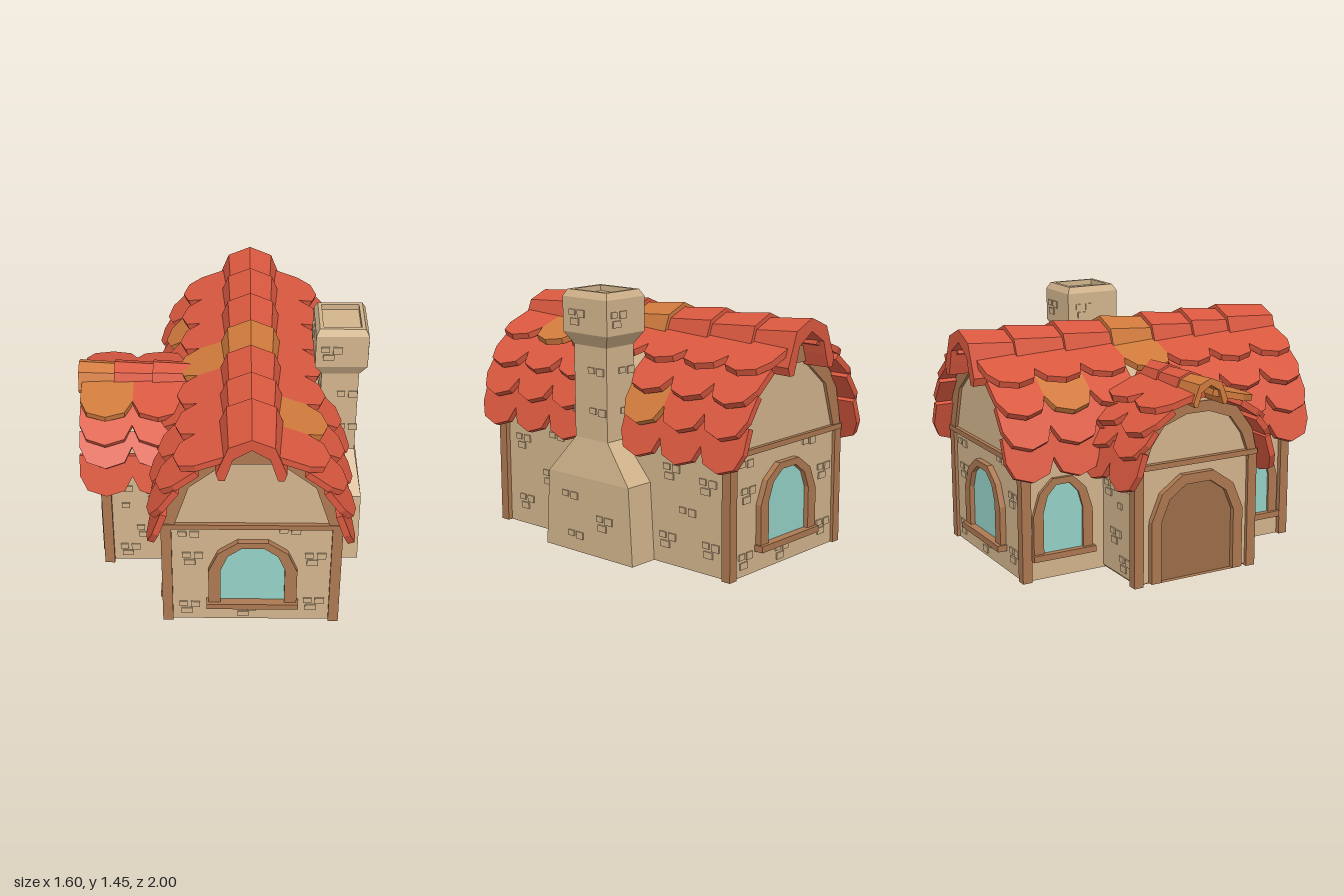
import * as THREE from 'three';

const mat = (name, color) => Object.assign(new THREE.MeshStandardMaterial({ color }), { name });

export function createModel() {
  const M = {
    plaster: mat('plaster', 0xd2b48c), timber: mat('timber', 0xac7851), door: mat('door wood', 0x9c6c48),
    glass: mat('glass', 0x95d2c8), tile: mat('red tile', 0xd9583f), oldTile: mat('orange tile', 0xd07a3c),
  };
  const model = new THREE.Group();
  model.name = 'cottage';

  const add = (parent, name, geo, m, x = 0, y = 0, z = 0) => {
    const mesh = new THREE.Mesh(geo, m);
    mesh.name = name;
    mesh.position.set(x, y, z);
    parent.add(mesh);
    return mesh;
  };
  const frame = (name, x, z, turn, parent = model) => {
    const g = new THREE.Group();
    g.name = name;
    g.position.set(x, 0, z);
    g.rotation.y = turn;
    parent.add(g);
    return g;
  };
  const box = (parent, name, m, x0, x1, y0, y1, z0, z1) =>
    add(parent, name, new THREE.BoxGeometry(x1 - x0, y1 - y0, z1 - z0), m, (x0 + x1) / 2, (y0 + y1) / 2, (z0 + z1) / 2);
  // closed outline from its right half, listed from bottom to top
  const mirrored = half => [...half, ...half.filter(p => p[0] > 0).reverse().map(([x, y]) => [-x, y])]
    .map(p => new THREE.Vector2(...p));
  const extrude = (pts, depth, hole) => {
    const s = new THREE.Shape(pts);
    if (hole) s.holes.push(new THREE.Path(hole));
    return new THREE.ExtrudeGeometry(s, { depth, bevelEnabled: false });
  };

  // arched opening: pane, raised frame and optional sill, on a wall at depth z
  const opening = (parent, name, x, z, outer, inner, pane, out, sill) => {
    const g = new THREE.Group();
    g.name = name;
    g.position.set(x, 0, z);
    parent.add(g);
    add(g, name + 'Pane', extrude(mirrored(inner), 0.006), pane);
    add(g, name + 'Frame', extrude(mirrored(outer), out, mirrored(inner)), M.timber);
    if (sill) box(g, name + 'Sill', M.timber, -sill, sill, 0.115, 0.15, 0, out + 0.02);
  };
  const arch = (w, y0, y1, k) => [[w, y0], [w, y1 - 0.2 * k], [w * 0.78, y1 - 0.075 * k], [w * 0.34, y1]];

  // clusters of slightly raised stones, each at [u, v, count]
  const stones = (parent, z, list) => {
    const spots = [[-0.03, 0.02, 0.045, 0.032], [0.036, 0.016, 0.05, 0.04], [-0.012, -0.03, 0.06, 0.036]];
    for (const [u, v, n] of list) for (const [a, b, w, h] of spots.slice(0, n))
      box(parent, 'stone', M.plaster, u + a - w / 2, u + a + w / 2, v + b - h / 2, v + b + h / 2, z, z + 0.008);
  };

  // gable trim: curved timber arch and cross beam
  const gable = (parent, outer, inner, z, depth, beam) => {
    add(parent, 'gableArch', extrude(mirrored(outer), depth, mirrored(inner)), M.timber, 0, 0, z);
    box(parent, 'gableBeam', M.timber, -beam, beam, 0.65, 0.68, z, z + depth + 0.006);
  };

  // ---- main house
  const CX = 0.168, CZ = 0.0075;
  const mainOuter = [[0.48, 0.655], [0.425, 0.92], [0.285, 1.095], [0.11, 1.165]];
  const mainInner = [[0.41, 0.675], [0.33, 0.925], [0.145, 1.075]];
  const house = frame('house', CX, CZ, 0);
  add(house, 'mainWalls', extrude(mirrored([[0.455, 0], [0.455, 0.655], [0.41, 0.9], [0.27, 1.09], [0.11, 1.16]]), 1.71),
    M.plaster, 0, 0, -0.855);
  for (const sx of [-1, 1]) for (const sz of [-1, 1])
    add(house, 'cornerPost', new THREE.BoxGeometry(0.056, 0.655, 0.056), M.timber, sx * 0.455, 0.3275, sz * 0.845);
  for (const side of [0, 1]) {
    const f = frame(side ? 'backFacade' : 'frontFacade', 0, 0, side * Math.PI, house);
    gable(f, mainOuter, mainInner, 0.845, 0.027, 0.483);
    opening(f, 'gableWindow', side ? -0.008 : 0.008, 0.855, arch(0.24, 0.13, 0.567, 1), arch(0.173, 0.15, 0.53, 0.75), M.glass, 0.034, 0.25);
    stones(f, 0.855, [[-0.34, 0.585, 2], [0.2, 0.61, 2], [-0.32, 0.44, 3], [0.34, 0.44, 3], [-0.34, 0.09, 3],
      [0.34, 0.12, 3], [-0.03, 0.07, 3]]);
  }
  const west = frame('leftFacade', 0, 0, -Math.PI / 2, house);
  for (const s of [-1, 1])
    opening(west, 'sideWindow', s * 0.62, 0.455, arch(0.18, 0.13, 0.567, 1), arch(0.12, 0.15, 0.53, 0.75), M.glass, 0.02, 0.19);
  const east = frame('chimneyFacade', 0, 0, Math.PI / 2, house);
  stones(east, 0.455, [[-0.7, 0.5, 3], [-0.48, 0.32, 3], [-0.68, 0.14, 3], [-0.42, 0.55, 2], [0.7, 0.48, 3],
    [0.45, 0.52, 3], [0.56, 0.3, 2], [0.72, 0.14, 3], [0.42, 0.14, 3]]);

  // ---- side wing with the door
  const wing = frame('wing', 0, 0.01, -Math.PI / 2);
  add(wing, 'wingWalls', extrude(mirrored([[0.365, 0.015], [0.365, 0.655], [0.335, 0.8], [0.24, 0.93], [0.08, 0.99]]), 0.5),
    M.plaster, 0, 0, 0.155);
  box(wing, 'wingFloor', M.timber, -0.36, 0.36, 0.006, 0.016, 0.28, 0.65);
  for (const s of [-1, 1])
    add(wing, 'wingPost', new THREE.BoxGeometry(0.056, 0.655, 0.056), M.timber, s * 0.36, 0.3275, 0.647);
  gable(wing, [[0.385, 0.655], [0.35, 0.8], [0.25, 0.935], [0.08, 0.99]], [[0.325, 0.675], [0.285, 0.78], [0.21, 0.88], [0.07, 0.93]],
    0.65, 0.028, 0.385);
  opening(wing, 'door', 0, 0.655, arch(0.29, 0.012, 0.6, 1.2), arch(0.23, 0.012, 0.545, 0.95), M.door, 0.035);
  for (const s of [-1, 1]) {
    const w = frame('wingSide', -0.45, 0.01 + s * 0.365, s > 0 ? 0 : Math.PI);
    stones(w, 0, [[-0.11 * s, 0.51, 2], [0.08 * s, 0.49, 3], [0.02 * s, 0.23, 3], [-0.08 * s, 0.09, 3], [-0.06 * s, 0.39, 1]]);
  }

  // ---- roof shingles; each row runs from an upper point to its tip in (out, y)
  const shingle = (w, [x0, y0], [x1, y1]) => {
    const L = Math.hypot(x1 - x0, y1 - y0), h = w / 2;
    const g = extrude([[-h, 0], [-h, 0.12 - L], [-h * 0.72, 0.035 - L], [0, -L], [h * 0.72, 0.035 - L], [h, 0.12 - L], [h, 0]]
      .map(p => new THREE.Vector2(...p)), 0.036);
    const up = new THREE.Vector3(x0 - x1, y0 - y1, 0).normalize();
    const out = new THREE.Vector3(up.y, -up.x, 0);
    g.translate(0, 0, -0.036);
    return g.applyMatrix4(new THREE.Matrix4().makeBasis(new THREE.Vector3(0, 0, -1), up, out).setPosition(x0, y0, 0));
  };
  const slope = (name, x, z, turn, rows, columns, width, orange, skip = () => false) => {
    const g = frame(name, x, z, turn);
    rows.forEach(([a, b], r) => columns.forEach((cz, c) => {
      if (!skip(r, c)) add(g, 'shingle', shingle(width, a, b), orange.includes(`${r},${c}`) ? M.oldTile : M.tile, 0, 0, cz);
    }));
  };
  const mainRows = [[[0.47, 0.83], [0.555, 0.59]], [[0.40, 0.985], [0.55, 0.77]],
    [[0.29, 1.105], [0.50, 0.94]], [[0.10, 1.215], [0.405, 1.1]]];
  const wingRows = [[[0.40, 0.78], [0.47, 0.55]], [[0.33, 0.895], [0.46, 0.735]],
    [[0.22, 0.995], [0.42, 0.865]], [[0.03, 1.075], [0.34, 0.995]]];
  const sevenColumns = [-3, -2, -1, 0, 1, 2, 3].map(i => i * 0.279);
  const noMiddle = (r, c) => c === 3 && r < 3;
  slope('rightSlope', 0.162, 0.01, 0, mainRows, sevenColumns, 0.279, ['3,5', '1,2'], noMiddle);
  slope('leftSlope', 0.162, 0.01, Math.PI, mainRows, sevenColumns, 0.279, ['3,3', '2,5'], noMiddle);
  slope('wingFrontSlope', 0, 0.01, -Math.PI / 2, wingRows, [0.635, 0.345], 0.29, ['3,0']);
  slope('wingBackSlope', 0, 0.01, Math.PI / 2, wingRows, [-0.635, -0.345], 0.29, []);

  // ---- ridge caps, each narrowing towards local +z
  const capHalf = [[0, 0.195], [0.105, 0.13], [0.125, 0.06], [0.15, -0.015], [0.185, -0.015], [0.2, 0.03], [0.13, 0.21], [0, 0.265]];
  const capPts = [...capHalf, ...capHalf.slice(1, -1).reverse().map(([x, y]) => [-x, y])].map(p => new THREE.Vector2(...p));
  const ridgeCap = (size, length) => {
    const g = extrude(capPts, length), p = g.attributes.position;
    for (let i = 0; i < p.count; i++) {
      const k = size * (1 - 0.1 * p.getZ(i) / length);
      p.setXY(i, p.getX(i) * k, p.getY(i) * k);
    }
    g.computeVertexNormals();
    return g;
  };
  const ridge = frame('mainRidge', 0.16, 0, 0);
  const breaks = [-1, -0.73, -0.43, -0.13, 0.14, 0.41, 0.66, 0.985];
  for (let i = 0; i < 7; i++)
    add(ridge, 'ridgeCap', ridgeCap(1, breaks[i + 1] - breaks[i] + 0.01), i === 3 ? M.oldTile : M.tile, 0, 1.07, breaks[i]);
  const wingRidge = frame('wingRidge', 0, 0.01, Math.PI / 2);
  [-0.8, -0.6, -0.385].forEach((x, i) =>
    add(wingRidge, 'wingRidgeCap', ridgeCap(0.53, 0.23), i ? M.tile : M.oldTile, 0, 1.0, x));

  // ---- chimney lofted from rectangles [y, x0, x1, z0, z1]
  const rings = [[0, 0.5, 0.795, -0.316, 0.34], [0.43, 0.5, 0.795, -0.29, 0.31], [0.64, 0.55, 0.757, -0.105, 0.135],
    [1.15, 0.55, 0.757, -0.105, 0.135], [1.22, 0.51, 0.797, -0.15, 0.177], [1.41, 0.51, 0.797, -0.15, 0.177],
    [1.447, 0.53, 0.777, -0.13, 0.157], [1.447, 0.55, 0.757, -0.108, 0.135], [1.415, 0.55, 0.757, -0.108, 0.135]];
  const pos = [], idx = [0, 2, 1, 0, 3, 2];
  rings.forEach(([y, x0, x1, z0, z1], r) => {
    pos.push(x0, y, z1, x1, y, z1, x1, y, z0, x0, y, z0);
    const a = r * 4;
    if (r === rings.length - 1) idx.push(a, a + 1, a + 2, a, a + 2, a + 3);
    else for (let i = 0; i < 4; i++) {
      const j = (i + 1) % 4;
      idx.push(a + i, a + j, a + 4 + j, a + i, a + 4 + j, a + 4 + i);
    }
  });
  let chimney = new THREE.BufferGeometry();
  chimney.setAttribute('position', new THREE.Float32BufferAttribute(pos, 3));
  chimney.setIndex(idx);
  chimney = chimney.toNonIndexed();
  chimney.computeVertexNormals();
  add(model, 'chimney', chimney, M.plaster);
  // stones on each side of the chimney: [turn, shaft depth, cap depth]
  for (const [turn, shaft, cap] of [[0, 0.12, 0.163], [1, 0.104, 0.143], [2, 0.12, 0.163], [3, 0.104, 0.143]]) {
    const g = frame('chimneyStones', 0.6535, 0.0145, turn * Math.PI / 2);
    stones(g, shaft, [[0.04, 1.0, 2], [0.05, 0.78, 2]]);
    stones(g, cap, [[-0.06, 1.31, 3]]);
  }
  const base = frame('chimneyBaseStones', 0.795, 0.01, Math.PI / 2);
  stones(base, 0, [[-0.14, 0.3, 2], [0.12, 0.2, 3], [-0.1, 0.08, 2]]);
  return model;
}
